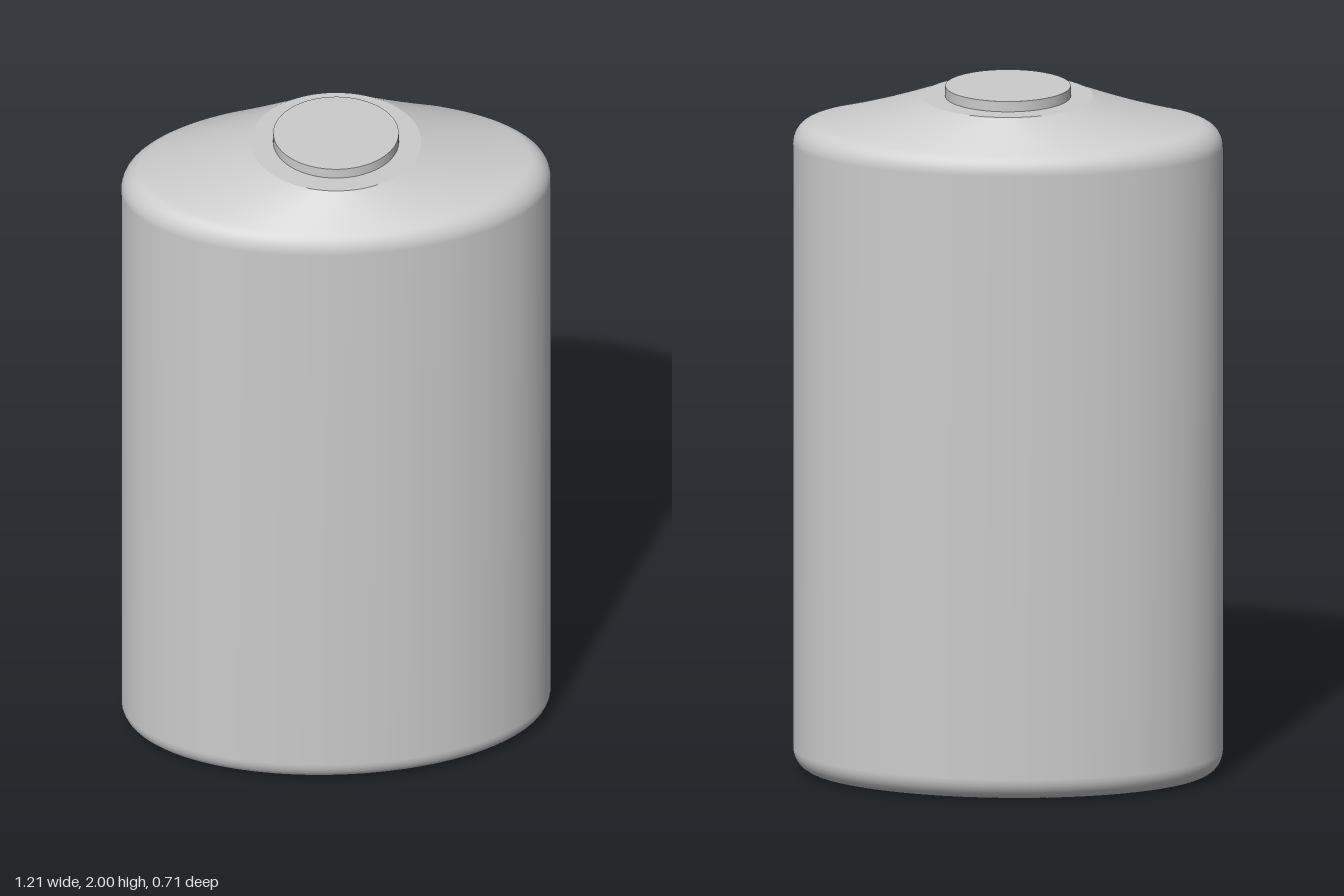
import * as THREE from 'three';

const A = 0.607, B = 0.354; // half axes of the oval body
const R = 0.07;             // edge rounding
const SEG = 128;

// Point on the oval, moved inwards along its normal
function oval(t, inset, y) {
  const c = Math.cos(t), s = Math.sin(t);
  const l = Math.hypot(B * c, A * s);
  return [A * c - inset * B * c / l, y, B * s - inset * A * s / l];
}

// Skin a list of rings (functions of angle), ordered from bottom to top
function skin(rings) {
  const pos = [], idx = [];
  rings.forEach((ring, i) => {
    for (let j = 0; j < SEG; j++) {
      pos.push(...ring(j / SEG * Math.PI * 2));
      if (i === rings.length - 1) continue;
      const k = (j + 1) % SEG, a = i * SEG, b = a + SEG;
      idx.push(a + j, b + j, a + k, a + k, b + j, b + k);
    }
  });
  const g = new THREE.BufferGeometry();
  g.setAttribute('position', new THREE.Float32BufferAttribute(pos, 3));
  g.setIndex(idx);
  g.computeVertexNormals();
  return g;
}

export function createModel() {
  const group = new THREE.Group();
  const mat = new THREE.MeshStandardMaterial({ color: 0xcccccc });
  const add = (name, geo, y = 0) => {
    const m = new THREE.Mesh(geo, mat);
    m.name = name;
    m.position.y = y;
    group.add(m);
  };

  const rimInset = 0.085, recess = 0.012, arcY = 1.828;
  const topY = 1.97, neckR = 0.24, N = 10;

  // Rounded bottom edge and straight wall
  const rings = [t => oval(t, rimInset, 0)];
  for (let i = 0; i <= N; i++) {
    const p = i / N * Math.PI / 2;
    rings.push(t => oval(t, R * (1 - Math.sin(p)), R * (1 - Math.cos(p))));
  }
  // Rounded top edge: turns further at the ends than at the front and back
  const arc = (t, f) => {
    const end = THREE.MathUtils.degToRad(80 - 33 * Math.sin(t) ** 2);
    return oval(t, R * (1 - Math.cos(end * f)), arcY + R * Math.sin(end * f));
  };
  for (let i = 0; i <= N; i++) rings.push(t => arc(t, i / N));
  // Shoulder blending from the oval into the round top, slightly hollow at the ends
  for (let i = 1; i <= 16; i++) {
    const f = i / 16;
    rings.push(t => {
      const [x, y, z] = arc(t, 1);
      const sag = 0.03 * f * (1 - f) * Math.cos(t) ** 2;
      return [
        THREE.MathUtils.lerp(x, neckR * Math.cos(t), f),
        THREE.MathUtils.lerp(y, topY, f) - sag,
        THREE.MathUtils.lerp(z, neckR * Math.sin(t), f),
      ];
    });
  }
  add('body', skin(rings));

  // Shallow recess under the base
  add('baseRecessWall', skin([t => oval(t, rimInset, recess), t => oval(t, rimInset, 0)]));
  add('baseFloor', skin([() => [0, recess, 0], t => oval(t, rimInset, recess)]));

  // Flat round top and low cap
  add('topPlate', new THREE.CircleGeometry(neckR, SEG).rotateX(-Math.PI / 2), topY);
  add('cap', new THREE.CylinderGeometry(0.177, 0.177, 0.04, 64), 1.98);
  return group;
}
